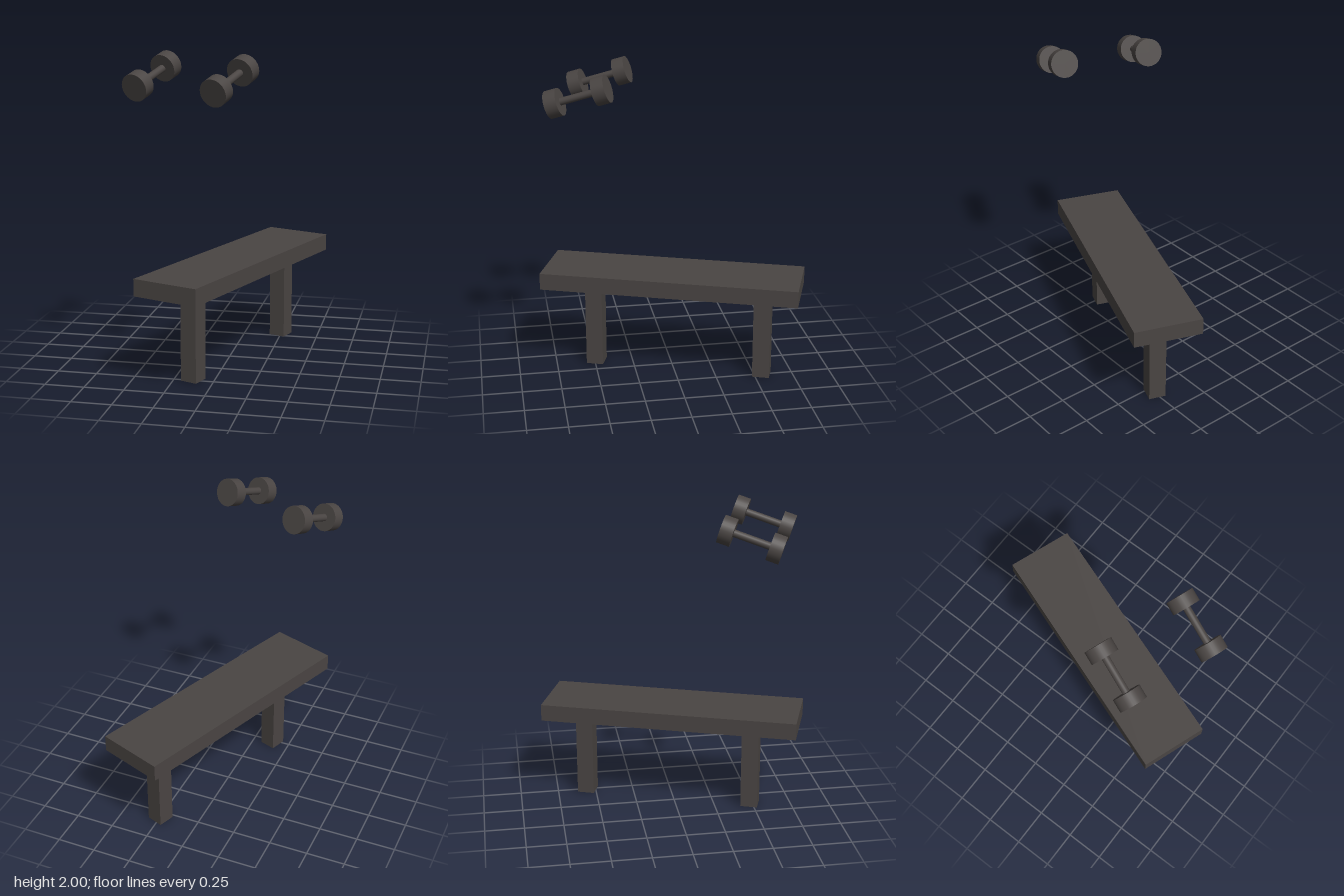
import * as THREE from 'three';

const deg = THREE.MathUtils.degToRad;

export function createModel() {
  const model = new THREE.Group();
  model.name = 'benchWithDumbbells';

  const charcoal = new THREE.MeshStandardMaterial({ color: 0x4a4543 });
  charcoal.name = 'charcoal';

  const add = (parent, name, geometry, x, y, z) => {
    const mesh = new THREE.Mesh(geometry, charcoal);
    mesh.name = name;
    mesh.position.set(x, y, z);
    parent.add(mesh);
    return mesh;
  };

  // Bench: slab seat on two square posts, turned about the vertical
  const bench = new THREE.Group();
  bench.name = 'bench';
  bench.position.x = 0.046;
  bench.rotation.y = deg(-20);
  add(bench, 'seat', new THREE.BoxGeometry(0.44, 0.108, 1.65), 0, 0.629, 0);
  const legGeometry = new THREE.BoxGeometry(0.11, 0.58, 0.11);
  add(bench, 'frontLeg', legGeometry, 0, 0.29, 0.517);
  add(bench, 'backLeg', legGeometry, 0, 0.29, -0.586);
  model.add(bench);

  // Dumbbells: handle along z with a thick disc at each end, tipped down at the front
  const headGeometry = new THREE.CylinderGeometry(0.086, 0.086, 0.08, 32).rotateX(Math.PI / 2);
  const handleGeometry = new THREE.CylinderGeometry(0.023, 0.023, 0.24, 20).rotateX(Math.PI / 2);
  for (const [name, x, z] of [['rightDumbbell', -0.392, 0.403], ['leftDumbbell', 0.121, 0.589]]) {
    const dumbbell = new THREE.Group();
    dumbbell.name = name;
    dumbbell.position.set(x, 1.863, z);
    dumbbell.rotation.set(deg(17.5), deg(-20), 0, 'YXZ');
    add(dumbbell, 'handle', handleGeometry, 0, 0, 0);
    add(dumbbell, 'frontHead', headGeometry, 0, 0, 0.154);
    add(dumbbell, 'backHead', headGeometry, 0, 0, -0.154);
    model.add(dumbbell);
  }

  return model;
}
